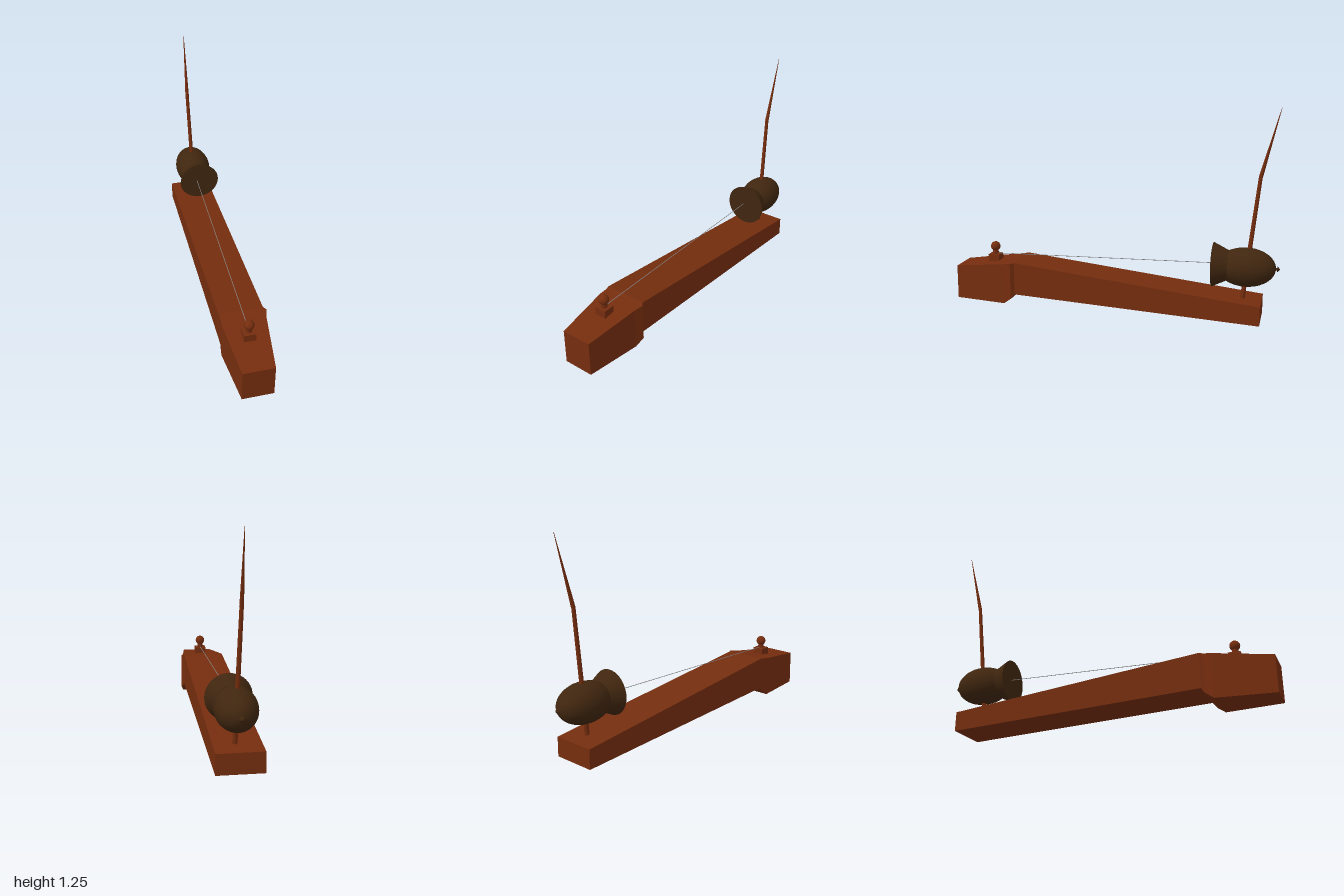
import * as THREE from 'three';

const wood = new THREE.MeshStandardMaterial({ color: 0x752d0e });
wood.name = 'reddish wood';
const gourdBrown = new THREE.MeshStandardMaterial({ color: 0x40260f });
gourdBrown.name = 'dark gourd brown';
const stringGrey = new THREE.MeshStandardMaterial({ color: 0x8c8c8c });
stringGrey.name = 'string grey';

const UP = new THREE.Vector3(0, 1, 0);

function addMesh(parent, name, geometry, material, x = 0, y = 0, z = 0) {
  const mesh = new THREE.Mesh(geometry, material);
  mesh.name = name;
  mesh.position.set(x, y, z);
  parent.add(mesh);
  return mesh;
}

// Tapered round bar between two points
function addBar(parent, name, from, to, r0, r1, sides, material) {
  const a = new THREE.Vector3(...from), b = new THREE.Vector3(...to);
  const dir = b.clone().sub(a);
  const mesh = addMesh(parent, name, new THREE.CylinderGeometry(r1, r0, dir.length(), sides), material);
  mesh.position.copy(a).add(b).multiplyScalar(0.5);
  mesh.quaternion.setFromUnitVectors(UP, dir.normalize());
  return mesh;
}

// Flat-faced beam through rectangular sections [z, left x, right x, bottom y, top y], back to front
function beamGeometry(sections) {
  const rings = sections.map(([z, x0, x1, y0, y1]) => [[x0, y0, z], [x1, y0, z], [x1, y1, z], [x0, y1, z]]);
  const pos = [];
  const quad = (a, b, c, d) => [a, b, c, a, c, d].forEach((p) => pos.push(...p));
  for (let i = 0; i < rings.length - 1; i++) {
    for (let j = 0; j < 4; j++) {
      const k = (j + 1) % 4;
      quad(rings[i][j], rings[i][k], rings[i + 1][k], rings[i + 1][j]);
    }
  }
  const [a, b, c, d] = rings[0];
  quad(d, c, b, a);
  quad(...rings[rings.length - 1]);
  const geometry = new THREE.BufferGeometry();
  geometry.setAttribute('position', new THREE.Float32BufferAttribute(pos, 3));
  geometry.computeVertexNormals();
  return geometry;
}

export function createModel() {
  const model = new THREE.Group();
  model.name = 'monochord';

  // Sloping sound box with a deeper, tapered head
  addMesh(model, 'soundBox', beamGeometry([
    [-0.9, -0.14, 0.12, 0, 0.115],
    [0.6, -0.14, 0.12, 0.068, 0.27],
    [0.62, -0.135, 0.137, 0.042, 0.266],
    [0.67, -0.14, 0.122, 0.005, 0.258],
    [1, -0.104, 0.082, 0.005, 0.215],
  ]), wood);

  // String post: block, neck and ball
  const post = new THREE.Group();
  post.name = 'stringPost';
  post.position.set(-0.01, 0, 0.773);
  model.add(post);
  addMesh(post, 'postBlock', new THREE.BoxGeometry(0.071, 0.055, 0.069), wood, 0, 0.26, 0);
  addMesh(post, 'postNeck', new THREE.CylinderGeometry(0.018, 0.018, 0.035, 20), wood, 0, 0.302, 0);
  addMesh(post, 'postBall', new THREE.SphereGeometry(0.03, 24, 16), wood, 0, 0.335, 0);

  // Bent flexible rod
  addBar(model, 'rodLower', [0.003, 0.11, -0.788], [-0.014, 0.85, -0.868], 0.014, 0.011, 8, wood);
  addBar(model, 'rodTip', [-0.014, 0.848, -0.868], [-0.008, 1.245, -0.97], 0.012, 0.001, 8, wood);

  // Gourd resonator lying along z: bulb, flared bell and end knob
  const gourd = new THREE.Group();
  gourd.name = 'gourd';
  gourd.position.set(0, 0.315, 0);
  gourd.rotation.x = -Math.PI / 2;
  model.add(gourd);
  const bulb = new THREE.SphereGeometry(1, 36, 24);
  bulb.scale(0.115, 0.172, 0.115);
  addMesh(gourd, 'gourdBulb', bulb, gourdBrown, 0, 0.804, 0);
  addMesh(gourd, 'gourdBell', new THREE.CylinderGeometry(0.088, 0.131, 0.09, 40), gourdBrown, 0.007, 0.656, -0.004)
    .position.z = 0.006;
  addMesh(gourd, 'knobStem', new THREE.CylinderGeometry(0.006, 0.009, 0.03, 10), gourdBrown, 0, 0.975, 0);
  addMesh(gourd, 'knobTip', new THREE.ConeGeometry(0.018, 0.016, 10), gourdBrown, 0, 0.992, 0);

  // Single string from post to bell
  addBar(model, 'string', [-0.009, 0.29, 0.775], [-0.009, 0.325, -0.62], 0.002, 0.002, 6, stringGrey);

  return model;
}
